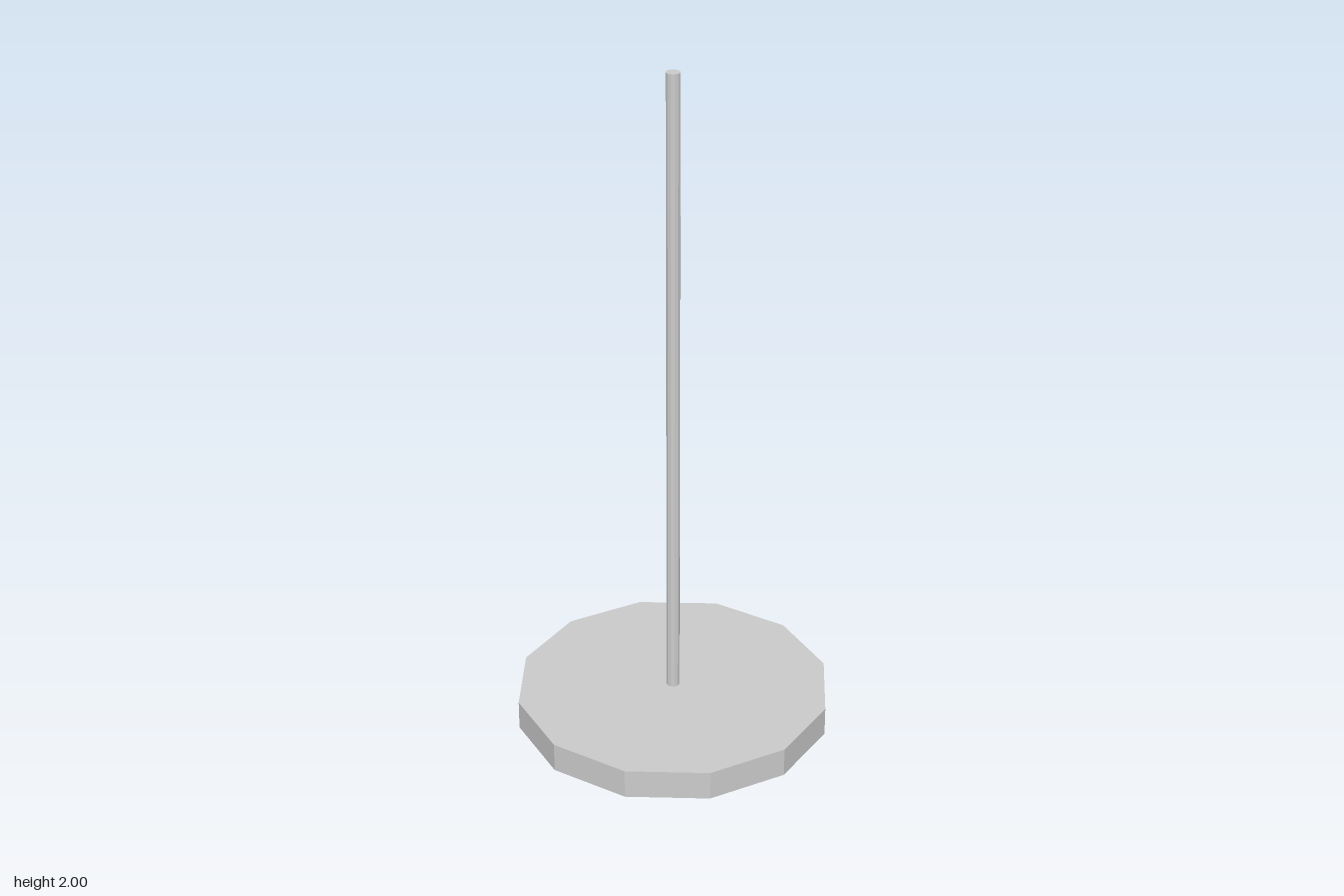
import * as THREE from 'three';

export function createModel() {
  const group = new THREE.Group();
  const material = new THREE.MeshStandardMaterial({ color: 0xcccccc, flatShading: true });

  // Upright twelve-sided prism standing between two heights
  const addPrism = (name, radius, bottom, top) => {
    const height = top - bottom;
    const mesh = new THREE.Mesh(new THREE.CylinderGeometry(radius, radius, height, 12), material);
    mesh.name = name;
    mesh.position.y = bottom + height / 2;
    group.add(mesh);
  };

  // Heavy floor plate
  addPrism('base', 0.467, 0, 0.088);
  // Slim post rising from the plate
  addPrism('pole', 0.02, 0.088, 2);

  return group;
}
